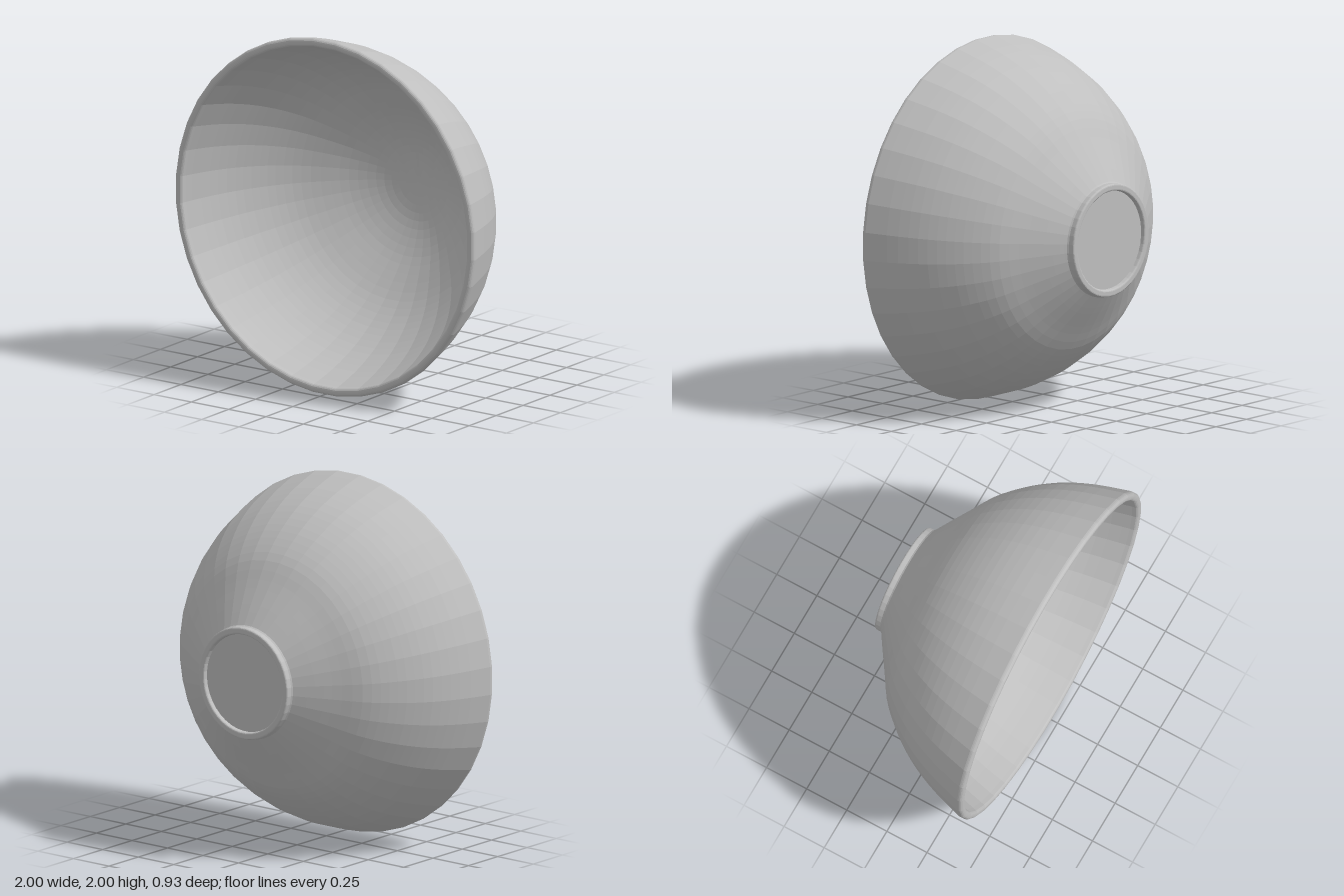
import * as THREE from 'three';

const SIDES = 40;
const v = (r, z) => new THREE.Vector2(r, z);

// Smooth curve through a few [radius, height] points
function smoothProfile(points, divisions) {
  return new THREE.SplineCurve(points.map(([r, z]) => v(r, z))).getPoints(divisions);
}

// Quarter-round edge between two angles, in degrees
function roundEdge(r, z, radius, from, to, steps = 4) {
  return Array.from({ length: steps + 1 }, (_, i) => {
    const a = THREE.MathUtils.degToRad(from + ((to - from) * i) / steps);
    return v(r + radius * Math.cos(a), z + radius * Math.sin(a));
  });
}

export function createModel() {
  const model = new THREE.Group();
  model.name = 'bowl';
  const glaze = new THREE.MeshStandardMaterial({ color: 0xbfbfbf, flatShading: true });
  glaze.name = 'grey glaze';

  // Each part is turned around the bowl's axis, half a side off so flats face x and y
  function turned(name, profile) {
    const geometry = new THREE.LatheGeometry(profile, SIDES, Math.PI / SIDES);
    geometry.rotateX(Math.PI / 2);
    const mesh = new THREE.Mesh(geometry, glaze);
    mesh.name = name;
    mesh.position.y = 1;
    model.add(mesh);
  }

  // Foot ring with a shallow recessed base
  turned('foot', [
    v(0, -0.44), v(0.272, -0.44),
    ...roundEdge(0.284, -0.455, 0.01, 180, 270, 3),
    ...roundEdge(0.303, -0.455, 0.01, 270, 360, 3),
    v(0.313, -0.43), v(0.318, -0.421), v(0.33, -0.413),
  ]);

  // Outer wall
  turned('outerWall', smoothProfile([
    [0.33, -0.413], [0.41, -0.36], [0.52, -0.285], [0.645, -0.2], [0.74, -0.105],
    [0.82, 0], [0.89, 0.12], [0.95, 0.265], [1.002, 0.437],
  ], 22));

  // Rounded lip
  turned('rim', [
    v(1.002, 0.437),
    ...roundEdge(0.982, 0.445, 0.02, 0, 90),
    ...roundEdge(0.974, 0.445, 0.02, 90, 180),
    v(0.951, 0.43),
  ]);

  // Inner wall down to the middle of the floor
  turned('innerWall', smoothProfile([
    [0.951, 0.43], [0.908, 0.28], [0.85, 0.14], [0.783, 0.025], [0.705, -0.077],
    [0.61, -0.17], [0.49, -0.257], [0.37, -0.33], [0.24, -0.385], [0.12, -0.41], [0, -0.417],
  ], 28));

  return model;
}
